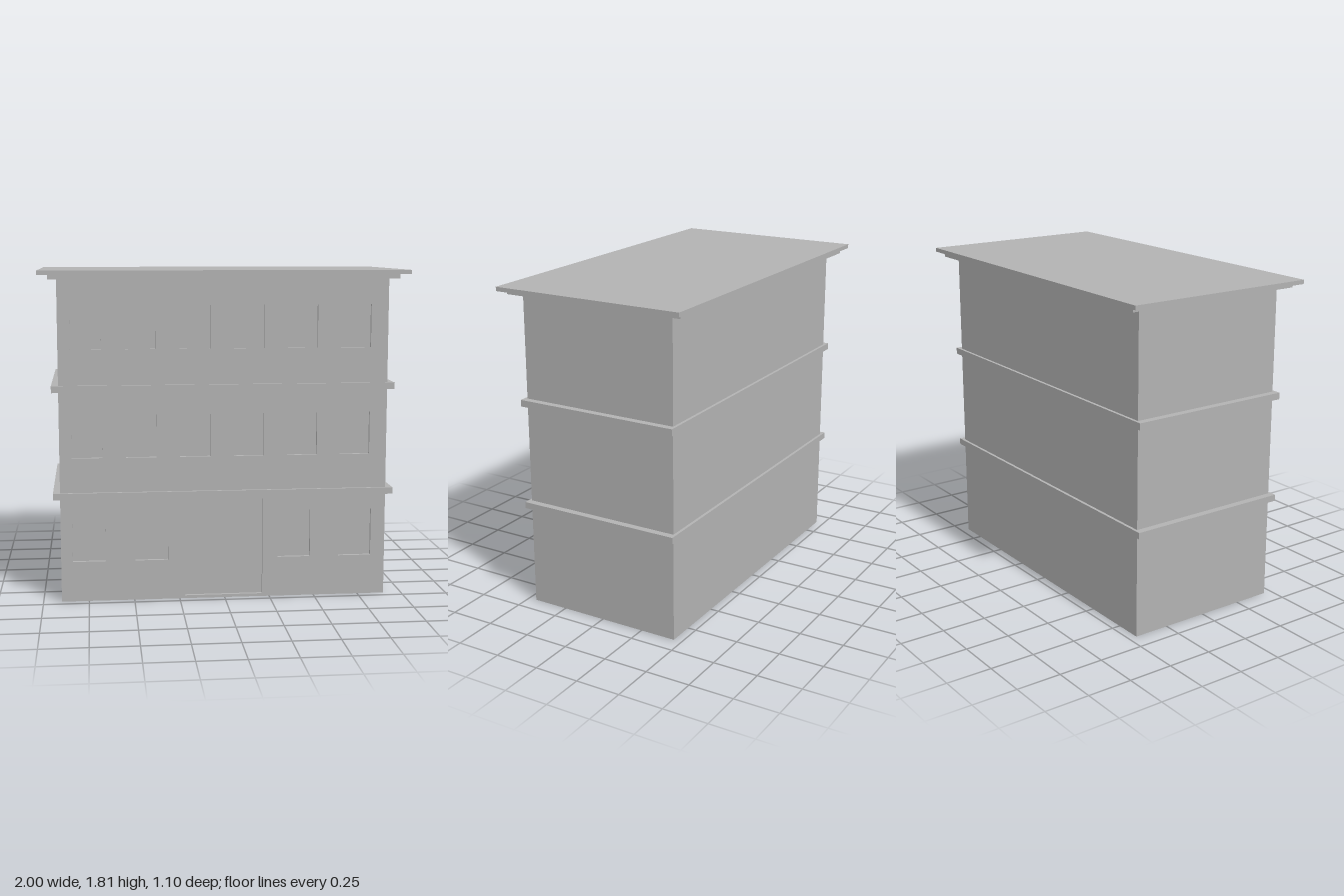
import * as THREE from 'three';

export function createModel() {
  const model = new THREE.Group();
  const stone = new THREE.MeshStandardMaterial({ color: 0xb2b2b2 });
  stone.name = 'grey stone';

  const HALF_W = 0.9, HALF_D = 0.453, WALL_TOP = 1.763, RECESS = 0.02;

  const add = (name, geometry) => {
    const mesh = new THREE.Mesh(geometry, stone);
    mesh.name = name;
    model.add(mesh);
  };
  // Centred slab spanning y0 to y1
  const slab = (name, halfW, halfD, y0, y1) =>
    add(name, new THREE.BoxGeometry(halfW * 2, y1 - y0, halfD * 2).translate(0, (y0 + y1) / 2, 0));
  const rect = (Type, x0, x1, y0, y1) => new Type([
    new THREE.Vector2(x0, y0), new THREE.Vector2(x1, y0),
    new THREE.Vector2(x1, y1), new THREE.Vector2(x0, y1),
  ]);

  // Main block; its front face is the back of the window recesses
  add('mainBlock', new THREE.BoxGeometry(HALF_W * 2, WALL_TOP, HALF_D * 2 - RECESS)
    .translate(0, WALL_TOP / 2, -RECESS / 2));

  // Front wall with openings
  const wall = rect(THREE.Shape, -HALF_W, HALF_W, 0, WALL_TOP);
  const opening = (x0, x1, y0, y1) => wall.holes.push(rect(THREE.Path, x0, x1, y0, y1));
  for (const [y0, y1] of [[0.797, 1.032], [1.388, 1.623]]) {
    for (let i = 0; i < 6; i++) {
      const x = -0.751 + i * 0.2946;
      opening(x - 0.083, x + 0.083, y0, y1);
    }
  }
  // Ground floor windows and wide doorway
  for (const x of [-0.746, -0.404, 0.387, 0.73]) opening(x - 0.091, x + 0.091, 0.222, 0.487);
  opening(-0.222, 0.211, 0.016, 0.556);
  add('frontWall', new THREE.ExtrudeGeometry(wall, { depth: RECESS, bevelEnabled: false })
    .translate(0, 0, HALF_D - RECESS));

  // Floor bands
  slab('lowerBand', 0.938, 0.469, 0.571, 0.607);
  slab('upperBand', 0.938, 0.469, 1.157, 1.194);

  // Stepped cornice and flat roof
  slab('cornice', 0.944, 0.522, WALL_TOP, 1.787);
  slab('roof', 1, 0.549, 1.787, 1.81);

  return model;
}
